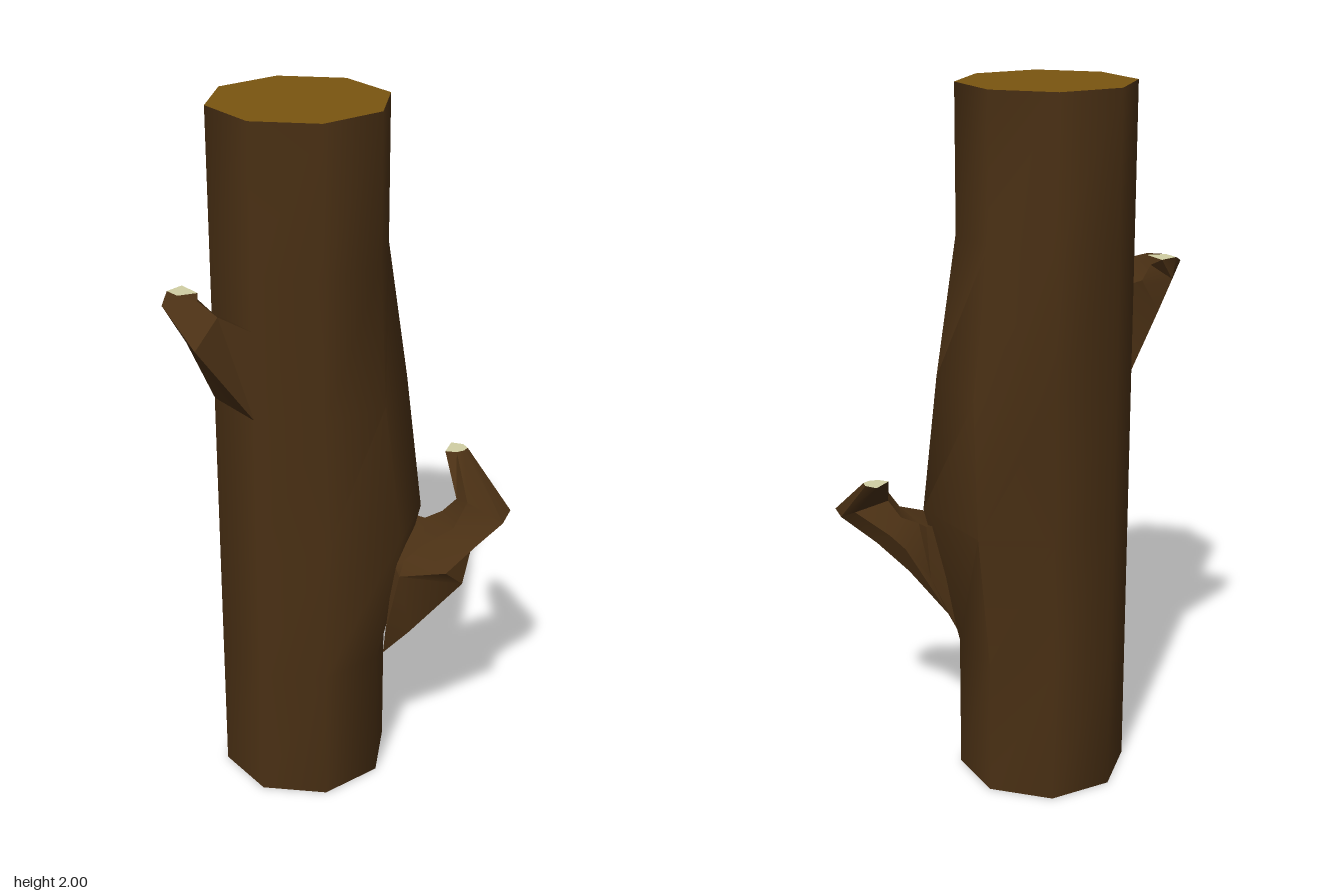
import * as THREE from 'three';
import { toCreasedNormals } from 'three/addons/utils/BufferGeometryUtils.js';

const bark = new THREE.MeshStandardMaterial({ color: 0x4a3014 });
const cutWood = new THREE.MeshStandardMaterial({ color: 0x7a5510 });
const paleWood = new THREE.MeshStandardMaterial({ color: 0xd2d0a4 });

function makeMesh(name, points, index, material, crease) {
  let geometry = new THREE.BufferGeometry();
  geometry.setAttribute('position', new THREE.Float32BufferAttribute(points.flat(), 3));
  geometry.setIndex(index);
  geometry = toCreasedNormals(geometry, crease);
  const mesh = new THREE.Mesh(geometry, material);
  mesh.name = name;
  return mesh;
}

// Skin through rings that run clockwise when seen from the far end
function loft(name, rings, crease) {
  const n = rings[0].length;
  const index = [];
  for (let i = 0; i < rings.length - 1; i++) {
    for (let j = 0; j < n; j++) {
      const k = (j + 1) % n;
      const a = i * n + j, b = i * n + k, c = a + n, d = b + n;
      index.push(a, c, b, b, c, d);
    }
  }
  return makeMesh(name, rings.flat(), index, bark, crease);
}

// Flat fan closing one end of a loft
function cap(name, ring, material, atStart = false) {
  const index = [];
  for (let j = 1; j < ring.length - 1; j++) {
    index.push(...(atStart ? [0, j, j + 1] : [0, j + 1, j]));
  }
  return makeMesh(name, ring, index, material, 0.1);
}

function part(name, ...meshes) {
  const group = new THREE.Group();
  group.name = name;
  group.add(...meshes);
  return group;
}

export function createModel() {
  const model = new THREE.Group();
  model.name = 'treeTrunk';

  // Octagonal trunk; swellings push single corners: corner -> [dx, dz]
  const swell = {
    0.8: { 0: [0.098, 0.03], 1: [0.06, 0.028], 7: [0.035, -0.045] },
    1.2: { 0: [0.057, 0.005], 1: [0.015, 0.007], 7: [0.048, -0.075] },
  };
  const trunkRings = [0, 0.4, 0.8, 1.2, 1.6, 2].map((y) =>
    Array.from({ length: 8 }, (_, j) => {
      const angle = (j * Math.PI) / 4;
      const [dx, dz] = swell[y]?.[j] ?? [0, 0];
      return [-0.105 + 0.243 * Math.cos(angle) + dx, y, -0.005 + 0.243 * Math.sin(angle) + dz];
    }));
  model.add(part('trunk',
    loft('trunkBark', trunkRings, 0.95),
    cap('trunkTop', trunkRings[5], cutWood),
    cap('trunkBottom', trunkRings[0], bark, true)));

  // Long bent branch: root, flare, shoulder, neck, knee, tip
  const longRings = [
    [[0.11, 0.71, 0.18], [0.2, 0.76, 0], [0.17, 0.6, -0.01], [0.13, 0.4, 0], [0.09, 0.4, 0.15], [0.09, 0.48, 0.17]],
    [[0.14, 0.72, 0.18], [0.23, 0.755, 0], [0.22, 0.6, -0.01], [0.17, 0.48, 0], [0.16, 0.48, 0.18], [0.12, 0.68, 0.2]],
    [[0.2, 0.74, 0.15], [0.25, 0.757, 0.025], [0.29, 0.7, -0.03], [0.28, 0.62, 0], [0.3, 0.64, 0.22], [0.24, 0.7, 0.25]],
    [[0.3, 0.77, 0.13], [0.3, 0.775, 0.03], [0.335, 0.74, -0.015], [0.37, 0.7, 0.03], [0.36, 0.69, 0.12], [0.35, 0.73, 0.18]],
    [[0.345, 0.84, 0.115], [0.335, 0.82, 0.05], [0.43, 0.8, 0.02], [0.47, 0.78, 0.04], [0.485, 0.785, 0.095], [0.44, 0.78, 0.155]],
    [[0.365, 0.92, -0.045], [0.335, 0.92, -0.06], [0.37, 0.92, -0.11], [0.4, 0.92, -0.09], [0.405, 0.92, -0.065], [0.39, 0.92, -0.05]],
  ];
  model.add(part('longBranch',
    loft('longBranchBark', longRings, 0.7),
    cap('longBranchTip', longRings[5], paleWood)));

  // Short stub on the other side: root, middle, bend, tip
  const stubRings = [
    [[-0.277, 1.2, 0.167], [-0.348, 1.2, 0], [-0.348, 1.45, 0], [-0.277, 1.45, 0.167]],
    [[-0.43, 1.42, 0.185], [-0.42, 1.37, 0], [-0.37, 1.46, -0.012], [-0.36, 1.49, 0.14]],
    [[-0.488, 1.5, 0.05], [-0.455, 1.46, -0.005], [-0.395, 1.5, 0], [-0.4, 1.515, 0.08]],
    [[-0.465, 1.52, 0], [-0.42, 1.52, -0.03], [-0.39, 1.52, 0.035], [-0.445, 1.52, 0.04]],
  ];
  model.add(part('stubBranch',
    loft('stubBranchBark', stubRings, 0.6),
    cap('stubBranchTip', stubRings[3], paleWood)));

  return model;
}
